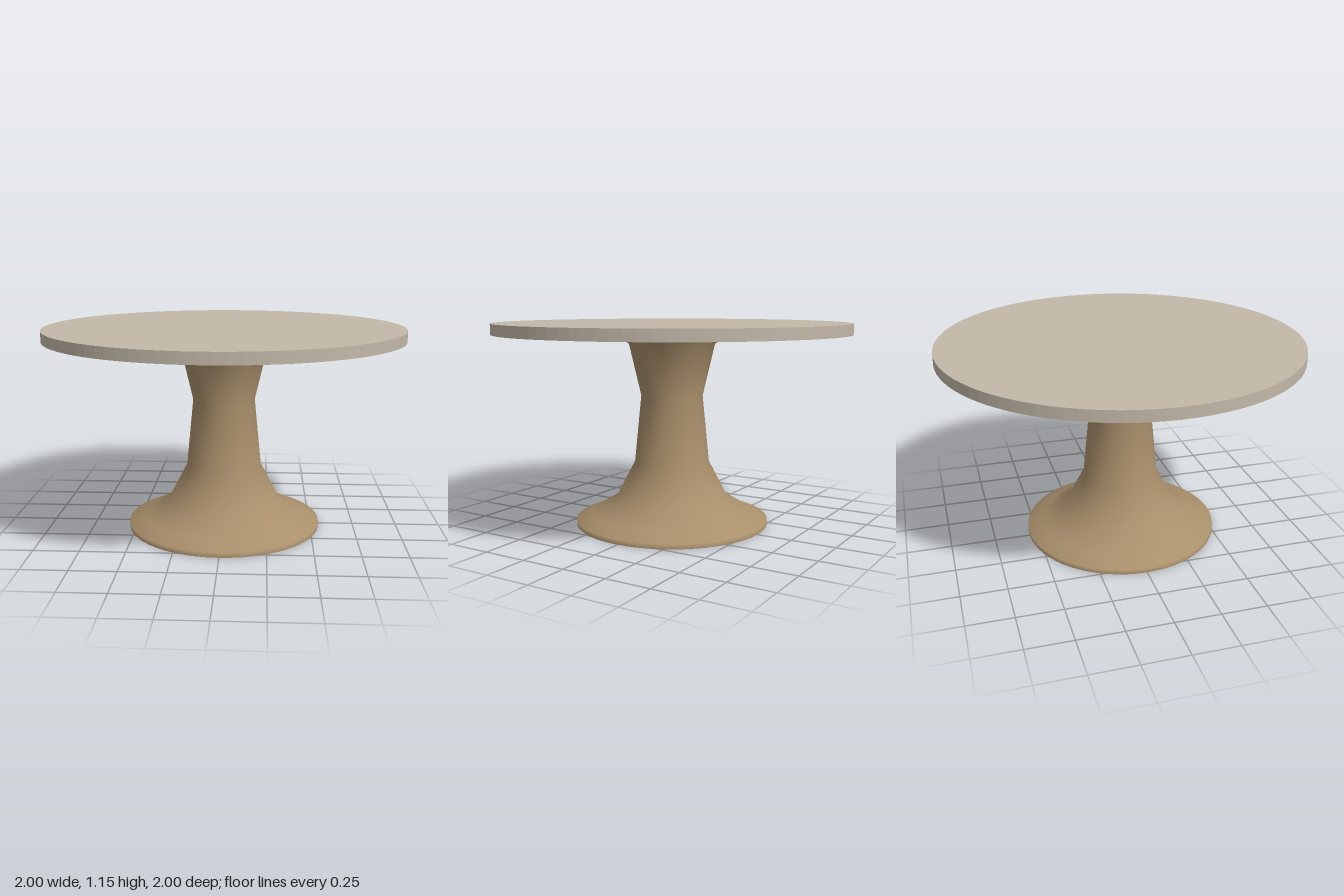
import * as THREE from 'three';

const SEGMENTS = 64;

export function createModel() {
  const group = new THREE.Group();
  group.name = 'pedestalTable';

  const stone = new THREE.MeshStandardMaterial({ color: 0xc2b8a8 });
  stone.name = 'pale stone';
  stone.flatShading = true;
  const wood = new THREE.MeshStandardMaterial({ color: 0xa98f6b });
  wood.name = 'warm wood';

  const add = (name, geometry, material, y = 0) => {
    const mesh = new THREE.Mesh(geometry, material);
    mesh.name = name;
    mesh.position.y = y;
    group.add(mesh);
  };

  // Round table top
  add('tableTop', new THREE.CylinderGeometry(1, 1, 0.06, SEGMENTS * 1.5), stone, 1.118);

  // Turned pedestal, from the foot rim up to the flared collar
  const profile = [
    [0.55, 0], [0.55, 0.028], [0.46, 0.065], [0.32, 0.148],
    [0.213, 0.355], [0.175, 0.737], [0.243, 1.03], [0.335, 1.088],
  ].map(([r, y]) => new THREE.Vector2(r, y));
  add('pedestal', new THREE.LatheGeometry(profile, SEGMENTS), wood);

  // Flat underside of the foot
  const underside = new THREE.CircleGeometry(0.55, SEGMENTS);
  underside.rotateX(Math.PI / 2);
  add('footUnderside', underside, wood);

  return group;
}
